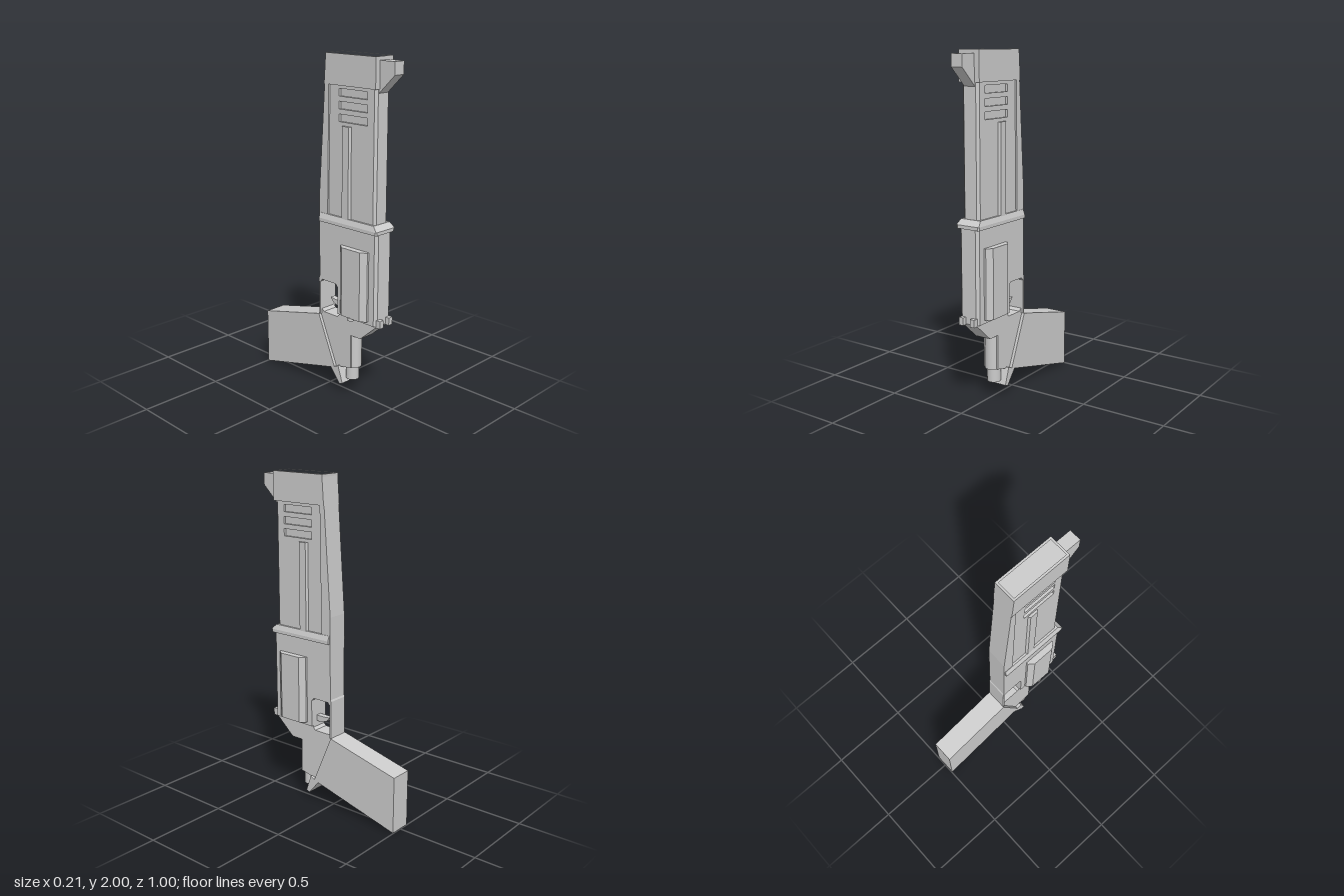
import * as THREE from 'three';

export function createModel() {
  const model = new THREE.Group();
  const material = new THREE.MeshStandardMaterial({ color: 0xcccccc, flatShading: true });
  const smooth = new THREE.MeshStandardMaterial({ color: 0xcccccc });

  const add = (name, geometry, mat = material) => {
    const mesh = new THREE.Mesh(geometry, mat);
    mesh.name = name;
    model.add(mesh);
    return mesh;
  };
  const toShape = (pts) => new THREE.Shape(pts.map(([a, b]) => new THREE.Vector2(a, b)));
  const rect = (a0, b0, a1, b1) => [[a0, b0], [a1, b0], [a1, b1], [a0, b1]];

  // Side outline given as [z, y], extruded across x from x0 to x1
  const profile = (name, pts, x0, x1, holes = []) => {
    const shape = toShape(pts);
    shape.holes = holes.map(toShape);
    const geo = new THREE.ExtrudeGeometry(shape, { depth: x1 - x0, bevelEnabled: false });
    return add(name, geo.rotateY(-Math.PI / 2).translate(x1, 0, 0));
  };
  // Plan outline given as [x, z], extruded upward from y0 to y1
  const prism = (name, pts, y0, y1, holes = []) => {
    const flip = (list) => list.map(([x, z]) => [x, -z]);
    const shape = toShape(flip(pts));
    shape.holes = holes.map((h) => toShape(flip(h)));
    const geo = new THREE.ExtrudeGeometry(shape, { depth: y1 - y0, bevelEnabled: false });
    return add(name, geo.rotateX(-Math.PI / 2).translate(0, y0, 0));
  };
  // Plan outline of a block whose two front corners are chamfered
  const chamfered = (half, z0, z1, c) => [
    [-half, z0], [half, z0], [half, z1 - c], [half - c, z1], [c - half, z1], [-half, z1 - c],
  ];

  // Muzzle cap with a shallow recess in its end, and the sight
  profile('muzzleCap', [[0.398, 1.83], [0.398, 1.985], [0.029, 1.985], [0.018, 1.83]], -0.068, 0.068);
  prism('muzzleRim', rect(-0.068, 0.029, 0.068, 0.398), 1.985, 2.0, [rect(-0.055, 0.042, 0.055, 0.385)]);
  profile('frontSight', [[0.39, 1.98], [0.5, 1.98], [0.5, 1.91], [0.39, 1.805]], -0.036, 0.036);

  // Barrel core, chamfered front and tapering rear spine
  profile('barrelCore', rect(0.02, 1.08, 0.355, 1.84), -0.04, 0.04);
  prism('barrelFront', chamfered(0.054, 0.35, 0.393, 0.014), 1.08, 1.83);
  profile('barrelSpine',
    [[0.05, 1.83], [0.018, 1.83], [-0.025, 1.2], [-0.025, 1.05], [0.04, 1.05]], -0.064, 0.064);

  // Side skins with three vent slots, and the long raised ribs
  const slots = [1.63, 1.7, 1.77].map((y) => rect(0.12, y, 0.33, y + 0.042));
  for (const s of [1, -1]) {
    const label = s > 0 ? 'left' : 'right';
    profile(label + 'BarrelSkin', rect(0.03, 1.08, 0.352, 1.835),
      s > 0 ? 0.038 : -0.054, s > 0 ? 0.054 : -0.038, slots);
    prism(label + 'BarrelRib',
      [[s * 0.05, 0.146], [s * 0.068, 0.156], [s * 0.068, 0.205], [s * 0.05, 0.216]], 1.08, 1.61);
  }

  // Collar between barrel and receiver: lower band and sloped upper band
  prism('collar', chamfered(0.077, -0.018, 0.425, 0.008), 1.04, 1.06);
  const slope = new THREE.BoxGeometry(0.154, 0.03, 0.443).translate(0, 1.075, 0.2035);
  const p = slope.attributes.position;
  for (let i = 0; i < p.count; i++) {
    if (p.getY(i) > 1.075) {
      p.setX(i, p.getX(i) * 0.86);
      if (p.getZ(i) > 0.2) p.setZ(i, 0.395);
    }
  }
  slope.computeVertexNormals();
  add('collarSlope', slope);

  // Receiver: chamfered front block, rear block and guard strip around the trigger opening
  prism('receiver', chamfered(0.064, 0.12, 0.418, 0.016), 0.5, 1.045);
  profile('receiverRear', [
    [0.12, 1.05], [-0.025, 1.05], [-0.025, 0.7], [-0.03, 0.69], [-0.03, 0.46], [-0.02, 0.46],
    [-0.02, 0.665], [-0.005, 0.682], [0.105, 0.682], [0.12, 0.665],
  ], -0.064, 0.064);
  profile('trigger', [[0.125, 0.56], [0.06, 0.56], [0.02, 0.565], [0.045, 0.535], [0.09, 0.522], [0.125, 0.525]],
    -0.018, 0.018);

  // Side panels with bevelled long edges
  for (const s of [1, -1]) {
    prism(s > 0 ? 'leftPanel' : 'rightPanel',
      [[s * 0.06, 0.155], [s * 0.076, 0.155], [s * 0.102, 0.188], [s * 0.102, 0.328], [s * 0.076, 0.362], [s * 0.06, 0.362]],
      0.52, 0.93);
    add('frontLug', new THREE.BoxGeometry(0.03, 0.045, 0.05)).position.set(s * 0.038, 0.517, 0.417);
  }
  add('sideKnob', new THREE.CylinderGeometry(0.02, 0.02, 0.018, 16), smooth).position.set(-0.087, 0.513, 0.25);

  // Neck below the receiver, with a curved lip under the trigger opening
  profile('neck', [
    [0.418, 0.5], [0.29, 0.387], [0.215, 0.387], [0.215, 0.18], [0.1, 0.155], [-0.03, 0.46],
    [-0.02, 0.49], [-0.005, 0.474], [0.105, 0.474], [0.12, 0.49], [0.12, 0.52], [0.418, 0.52],
  ], -0.05, 0.05);

  // Rod ahead of the neck and its narrower tip
  add('rod', new THREE.CylinderGeometry(0.046, 0.046, 0.21, 20), smooth).position.set(0, 0.283, 0.196);
  add('rodTip', new THREE.CylinderGeometry(0.04, 0.04, 0.1, 20), smooth).position.set(0, 0.145, 0.185);

  // Grip and the spur at its lower front
  profile('grip', [[-0.03, 0.46], [-0.497, 0.345], [-0.497, 0], [0.07, 0.145], [0.1, 0.155]], -0.068, 0.068);
  profile('gripSpur', [[0.1, 0.157], [0.13, 0.17], [0.165, 0.068], [0.14, 0.06], [0.07, 0.145]], -0.067, 0.067);

  return model;
}
